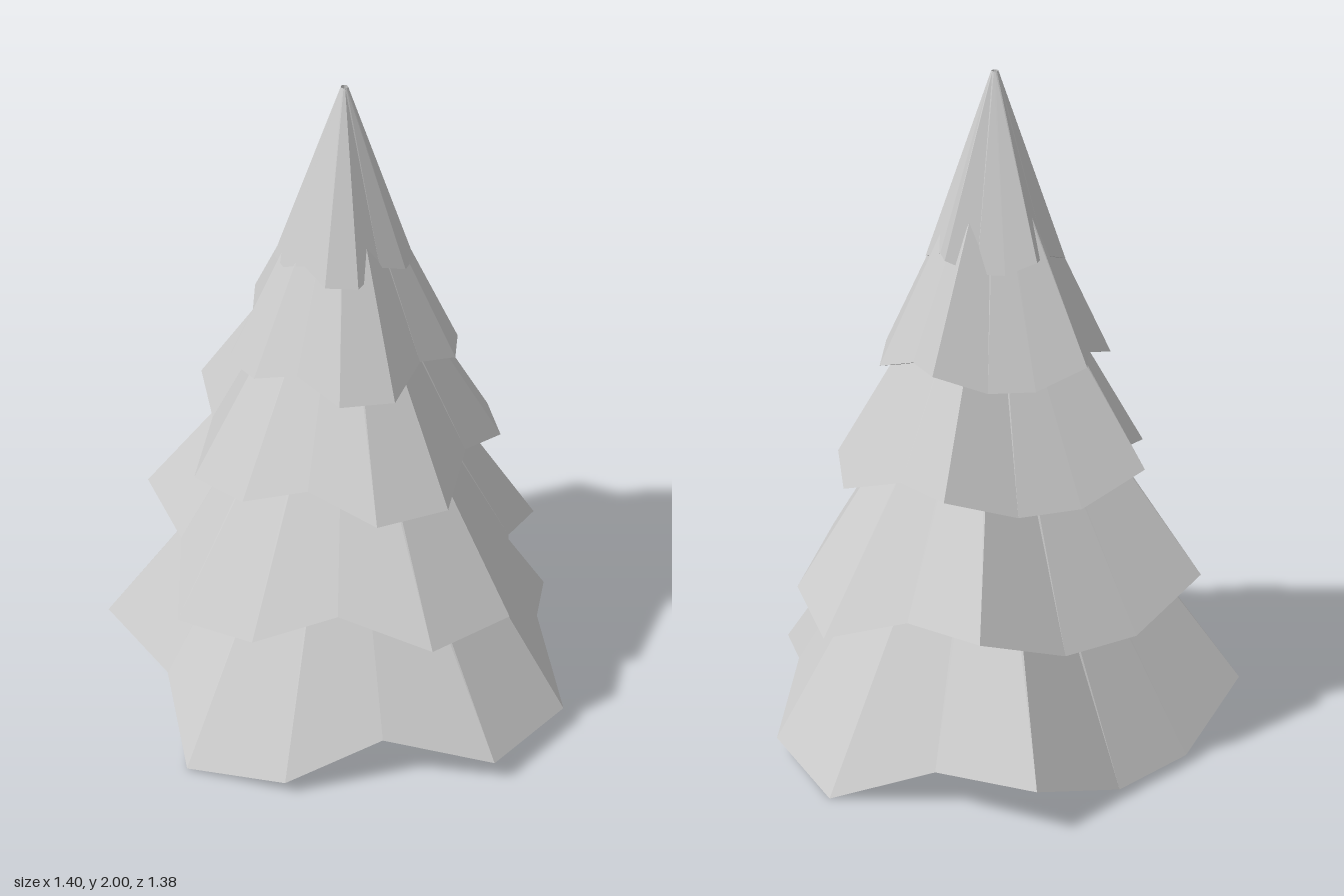
import * as THREE from 'three';

const SIDES = 14;
const STEP = (Math.PI * 2) / SIDES;
const AXIS_X = -0.04, AXIS_Z = -0.01;

// Irregular branch outline shared by all tiers: reach and lift of each rim corner
const REACH = [0.74, 0.6, 0.67, 0.715, 0.585, 0.733, 0.642, 0.625, 0.738, 0.588, 0.7, 0.688, 0.59, 0.742];
const LIFT = [0.48, 1, 0.28, 0.03, 0.7, 0.89, 0.17, 0.17, 0.9, 0.7, 0, 0.32, 1, 0.44];

// Radius of the narrow hollow core at a given height
const coreRadius = (y) => THREE.MathUtils.lerp(0.085, 0.01, y / 2);

// A ring of corners; radius and height are functions of the corner index
function ring(turn, radius, height) {
  return Array.from({ length: SIDES }, (_, i) => {
    const a = (i + turn) * STEP;
    return [AXIS_X + Math.cos(a) * radius(i), height(i), AXIS_Z + Math.sin(a) * radius(i)];
  });
}

// Joins successive rings with flat faces
function loft(rings) {
  const pos = [];
  for (let r = 0; r < rings.length - 1; r++) {
    const A = rings[r], B = rings[r + 1];
    for (let i = 0; i < SIDES; i++) {
      const j = (i + 1) % SIDES;
      pos.push(...A[i], ...A[j], ...B[i], ...A[j], ...B[j], ...B[i]);
    }
  }
  const geo = new THREE.BufferGeometry();
  geo.setAttribute('position', new THREE.Float32BufferAttribute(pos, 3));
  geo.computeVertexNormals();
  return geo;
}

export function createModel() {
  const group = new THREE.Group();
  group.name = 'firTree';
  const mat = new THREE.MeshStandardMaterial({ color: 0xcccccc, flatShading: true });
  mat.name = 'paleGrey';

  // Tiers from bottom to top, each turned half a step further
  const tiers = [
    { base: 0, rise: 0.16, scale: 1, top: 1.1 },
    { base: 0.42, rise: 0.14, scale: 0.85, top: 1.35 },
    { base: 0.815, rise: 0.1, scale: 0.665, top: 1.6 },
    { base: 1.145, rise: 0.075, scale: 0.475, top: 1.84 },
    { base: 1.455, rise: 0.048, scale: 0.28, top: 2 },
  ];
  tiers.forEach(({ base, rise, scale, top }, n) => {
    const turn = n / 2;
    const under = base + 0.01;
    const mesh = new THREE.Mesh(loft([
      ring(turn, () => coreRadius(top), () => top),
      ring(turn, (i) => REACH[i] * scale, (i) => base + LIFT[i] * rise),
      ring(turn, () => coreRadius(under), () => under),
    ]), mat);
    mesh.name = `branchTier${n + 1}`;
    group.add(mesh);
  });

  // Inner wall of the hollow core, facing the axis
  const core = new THREE.Mesh(loft([
    ring(0, () => coreRadius(0.01), () => 0.01),
    ring(0, () => coreRadius(2), () => 2),
  ]), mat);
  core.name = 'hollowCore';
  group.add(core);
  return group;
}
